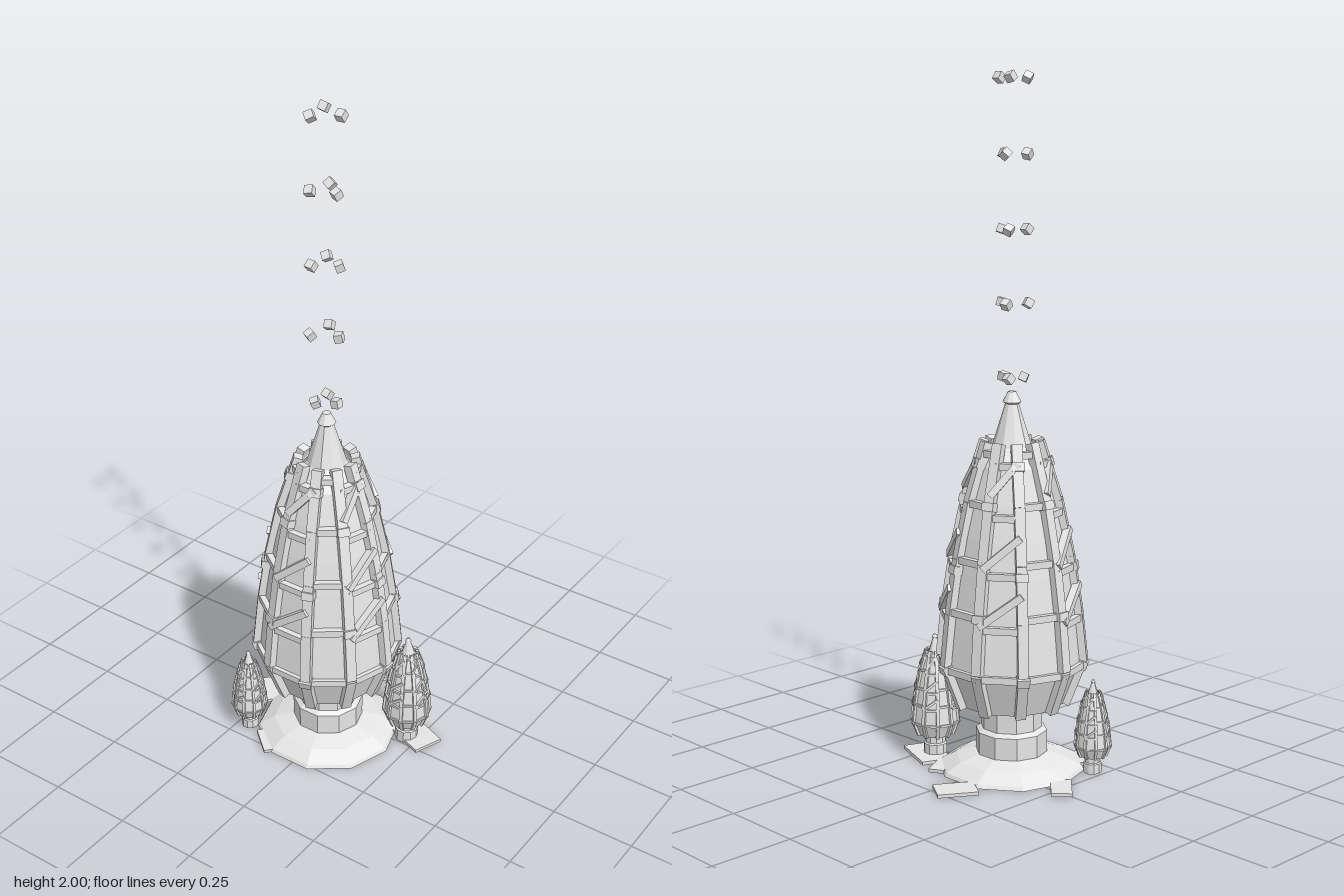
import * as THREE from 'three';
import { mergeGeometries } from 'three/addons/utils/BufferGeometryUtils.js';

const SIDES = 10;
const stone = new THREE.MeshStandardMaterial({ color: 0xe5e5e5, flatShading: true });
stone.name = 'pale stone';

// Outline of the body as [radius, height]
const outline = [[0.155, 0.2], [0.205, 0.33], [0.198, 0.4], [0.187, 0.5], [0.172, 0.6],
  [0.154, 0.7], [0.13, 0.8], [0.1, 0.9], [0.076, 0.965]];

function radiusAt(y) {
  for (let i = 1; i < outline.length; i++) {
    const [r0, y0] = outline[i - 1], [r1, y1] = outline[i];
    if (y <= y1) return r0 + (r1 - r0) * (y - y0) / (y1 - y0);
  }
  return outline[outline.length - 1][0];
}

// Point above a corner (whole step) or along a flat face (fractional step)
function onBody(step, y, lift = 0) {
  const r = radiusAt(y) + lift;
  const corner = (i) => {
    const a = i * Math.PI * 2 / SIDES;
    return new THREE.Vector3(Math.cos(a) * r, y, Math.sin(a) * r);
  };
  const i = Math.floor(step);
  return corner(i).lerp(corner(i + 1), step - i);
}

// Box running from a to b, its depth pointing away from the axis
function beam(a, b, width, depth) {
  const dir = b.clone().sub(a);
  const length = dir.length();
  dir.normalize();
  const out = a.clone().add(b).setY(0);
  out.addScaledVector(dir, -out.dot(dir)).normalize();
  const side = dir.clone().cross(out);
  const m = new THREE.Matrix4().makeBasis(side, dir, out);
  m.setPosition(a.clone().add(b).multiplyScalar(0.5));
  return new THREE.BoxGeometry(width, length, depth).applyMatrix4(m);
}

function part(name, geometry) {
  const mesh = new THREE.Mesh(geometry, stone);
  mesh.name = name;
  return mesh;
}

function lathe(name, points) {
  const pts = points.map(([r, y]) => new THREE.Vector2(r, y));
  return part(name, new THREE.LatheGeometry(pts, SIDES, Math.PI / 2));
}

function createTower(name) {
  const g = new THREE.Group();
  g.name = name;
  g.add(lathe('trunk', [[0, 0], [0.105, 0], [0.105, 0.115], [0.09, 0.125], [0.09, 0.21]]));
  g.add(lathe('body', [[0, 0.2], ...outline.slice(0, -1), [0.058, 0.955]]));
  g.add(lathe('spire', [[0.062, 0.94], [0.02, 1.075], [0.027, 1.08], [0.012, 1.11], [0, 1.11]]));

  const ribs = [], bars = [], braces = [], joints = [];
  const stops = [0.2, 0.33, 0.48, 0.64, 0.8, 0.97];
  for (let i = 0; i < SIDES; i++) {
    // Upright ribs along the corners
    for (let k = 1; k < stops.length; k++) {
      ribs.push(beam(onBody(i, stops[k - 1], 0.004), onBody(i, stops[k], 0.004), 0.03, 0.026));
    }
    // Cross bars between the ribs, staggered from bay to bay
    [0.32, 0.46, 0.61, 0.77, 0.91].forEach((level, k) => {
      const y = level + (k ? (i % 2) * 0.03 : 0);
      bars.push(beam(onBody(i, y, 0.005), onBody(i + 0.999, y, 0.005), 0.02, 0.022));
      if ((i + k) % 2 === 0) {
        joints.push(beam(onBody(i, y - 0.012, 0.008), onBody(i, y + 0.012, 0.008), 0.036, 0.028));
      }
    });
    // Slanting braces in every other bay
    if (i % 2 === 0) {
      for (const y of [0.47, 0.63, 0.83]) {
        braces.push(beam(onBody(i + 0.999, y, 0.014), onBody(i, y + 0.09, 0.014), 0.021, 0.022));
      }
    }
  }
  g.add(part('ribs', mergeGeometries(ribs)));
  g.add(part('crossBars', mergeGeometries(bars)));
  g.add(part('braces', mergeGeometries(braces)));
  g.add(part('joints', mergeGeometries(joints)));
  return g;
}

export function createModel() {
  const model = new THREE.Group();
  model.name = 'tower';

  // Main tower on its mound
  const main = createTower('mainTower');
  main.add(lathe('mound', [[0, 0], [0.216, 0], [0.21, 0.01], [0.165, 0.035], [0.11, 0.05], [0, 0.05]]));
  main.position.set(-0.014, 0, 0.058);
  model.add(main);

  // Two small copies beside it
  for (const [name, x, z, s] of [['leftTower', 0.212, -0.037, 0.335], ['rightTower', -0.215, 0.19, 0.25]]) {
    const small = createTower(name);
    small.position.set(x, 0, z);
    small.scale.setScalar(s);
    model.add(small);
  }

  // Flat slabs on the ground: x, z, width, depth, turn
  const slabs = [[-0.054, -0.204, 0.084, 0.118, -0.56], [-0.253, 0.019, 0.112, 0.06, -0.785],
    [0.223, -0.058, 0.158, 0.094, -0.368], [0.117, -0.1, 0.046, 0.1, 0.5], [-0.11, 0.22, 0.1, 0.07, -0.7]];
  for (const [x, z, w, d, turn] of slabs) {
    const slab = part('slab', new THREE.BoxGeometry(w, 0.01, d));
    slab.position.set(x, 0.005, z);
    slab.rotation.y = turn;
    model.add(slab);
  }

  // Rings of three floating blocks: height, radius, turn
  const rings = [[1.15, 0.034, 0], [1.36, 0.046, 0.1], [1.567, 0.043, -0.03], [1.775, 0.042, 0.2], [1.984, 0.046, -0.15]];
  rings.forEach(([y, r, turn], k) => {
    for (let i = 0; i < 3; i++) {
      const a = turn + i * Math.PI * 2 / 3;
      const block = part('floatingBlock', new THREE.BoxGeometry(0.024, 0.024, 0.024));
      block.position.set(-0.014 + Math.cos(a) * r, y, 0.058 + Math.sin(a) * r);
      block.rotation.set(0.3 * i + 0.1 * k, 0.7 * i + 0.4 * k, 0.2);
      model.add(block);
    }
  });
  return model;
}
